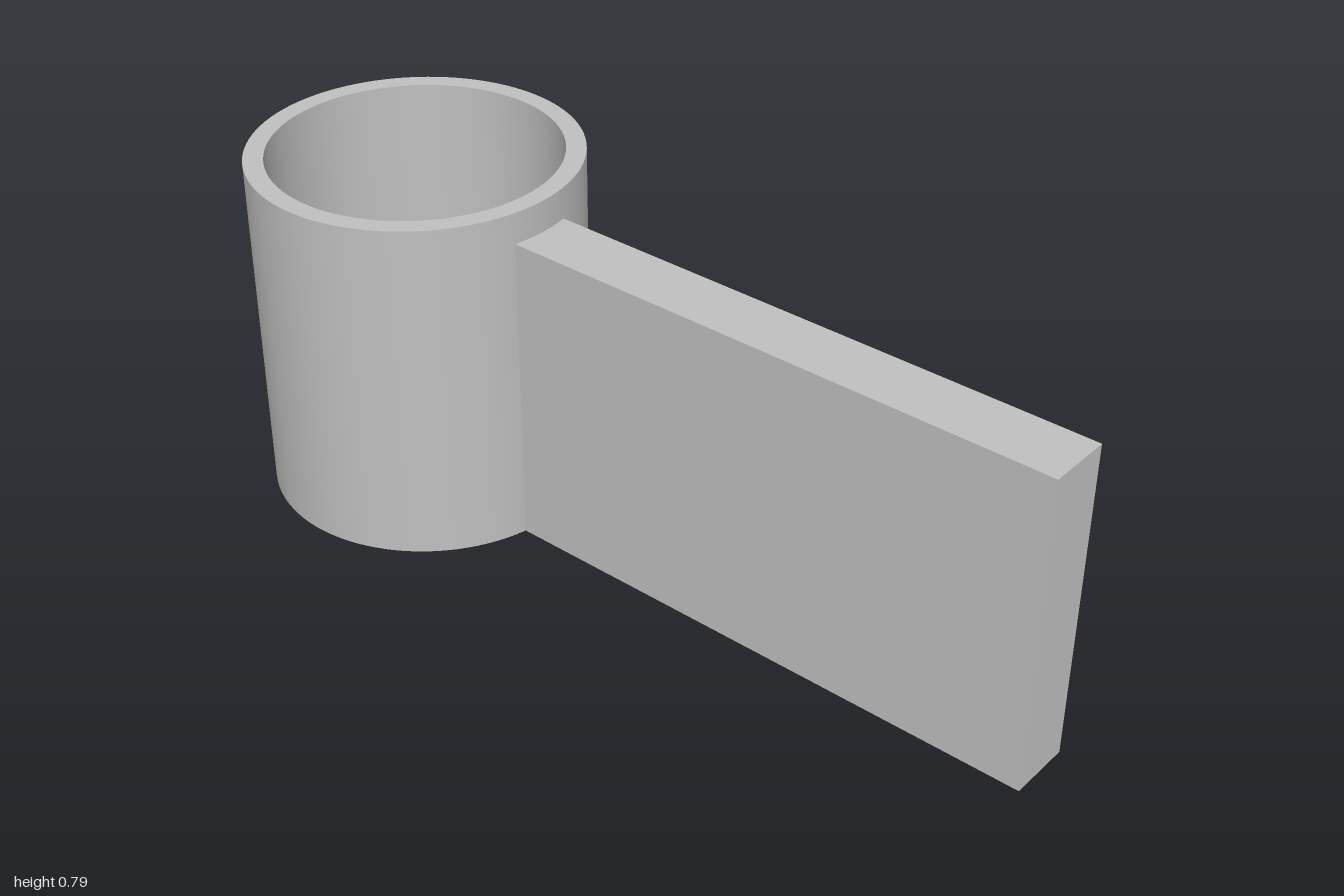
import * as THREE from 'three';

const R = 0.364, RI = 0.32, H = 0.793, FLOOR = 0.072; // cup
const CZ = -0.636;                                    // cup axis
const HOLE_R = 0.069, HOLE_Y = 0.438;                 // round hole in the back wall
const SPAN = 0.4;                                     // half angle of the pierced wall panel

// Closed loop of cross-sections; point(t, s) returns [position, normal]
function loopSurface(point, steps, flip) {
  const N = 64, pos = [], nor = [], idx = [];
  for (let j = 0; j <= steps; j++) {
    for (let i = 0; i < N; i++) {
      const [p, n] = point((i / N) * Math.PI * 2, j / steps);
      pos.push(...p);
      nor.push(...n);
      if (j === steps) continue;
      const k = (i + 1) % N;
      const a = j * N + i, b = j * N + k, c = b + N, d = a + N;
      if (flip) idx.push(a, c, d, a, b, c);
      else idx.push(a, d, c, a, c, b);
    }
  }
  const g = new THREE.BufferGeometry();
  g.setAttribute('position', new THREE.Float32BufferAttribute(pos, 3));
  g.setAttribute('normal', new THREE.Float32BufferAttribute(nor, 3));
  g.setIndex(idx);
  return g;
}

// Curved panel running from the hole's edge out to a rectangle
function piercedPanel(radius, bottom, outward) {
  const sign = outward ? 1 : -1;
  return loopSurface((t, s) => {
    const c = Math.cos(t), v = Math.sin(t), m = Math.max(Math.abs(c), Math.abs(v));
    const edgeY = HOLE_Y + (v / m) * (v > 0 ? H - HOLE_Y : HOLE_Y - bottom);
    const angle = THREE.MathUtils.lerp(Math.asin((HOLE_R * c) / radius), (SPAN * c) / m, s);
    const y = THREE.MathUtils.lerp(HOLE_Y + HOLE_R * v, edgeY, s);
    const x = Math.sin(angle), z = -Math.cos(angle);
    return [[radius * x, y, radius * z], [sign * x, 0, sign * z]];
  }, 10, outward);
}

export function createModel() {
  const grey = new THREE.MeshStandardMaterial({ color: 0xc0c0c0, side: THREE.DoubleSide });
  grey.name = 'plain grey';

  const model = new THREE.Group();
  model.name = 'cupWithArm';
  const cup = new THREE.Group();
  cup.name = 'cup';
  cup.position.z = CZ;
  model.add(cup);

  const add = (parent, name, geometry) => {
    const mesh = new THREE.Mesh(geometry, grey);
    mesh.name = name;
    parent.add(mesh);
    return mesh;
  };

  // Turned faces of the cup; the two walls leave a gap for the pierced panel
  const faces = [
    ['cupBottom', 0, 0, R, 0, false],
    ['outerWall', R, 0, R, H, true],
    ['rim', R, H, RI, H, false],
    ['innerWall', RI, H, RI, FLOOR, true],
    ['cupFloor', RI, FLOOR, 0, FLOOR, false],
  ];
  for (const [name, x0, y0, x1, y1, gap] of faces) {
    const line = [new THREE.Vector2(x0, y0), new THREE.Vector2(x1, y1)];
    const a = gap ? SPAN : 0;
    add(cup, name, new THREE.LatheGeometry(line, 96, Math.PI + a, Math.PI * 2 - 2 * a));
  }

  // Back wall with its round hole
  add(cup, 'outerBackPanel', piercedPanel(R, 0, true));
  add(cup, 'innerBackPanel', piercedPanel(RI, FLOOR, false));
  add(cup, 'holeSide', loopSurface((t, s) => {
    const x = HOLE_R * Math.cos(t), r = s ? RI : R;
    return [
      [x, HOLE_Y + HOLE_R * Math.sin(t), -Math.sqrt(r * r - x * x)],
      [-Math.cos(t), -Math.sin(t), 0],
    ];
  }, 1, false));

  // Flat arm, its end buried in the cup wall
  const back = -0.3, armH = 0.722;
  const arm = add(model, 'arm', new THREE.BoxGeometry(0.145, armH, 1 - back));
  arm.position.set(0, armH / 2, (1 + back) / 2);

  return model;
}
